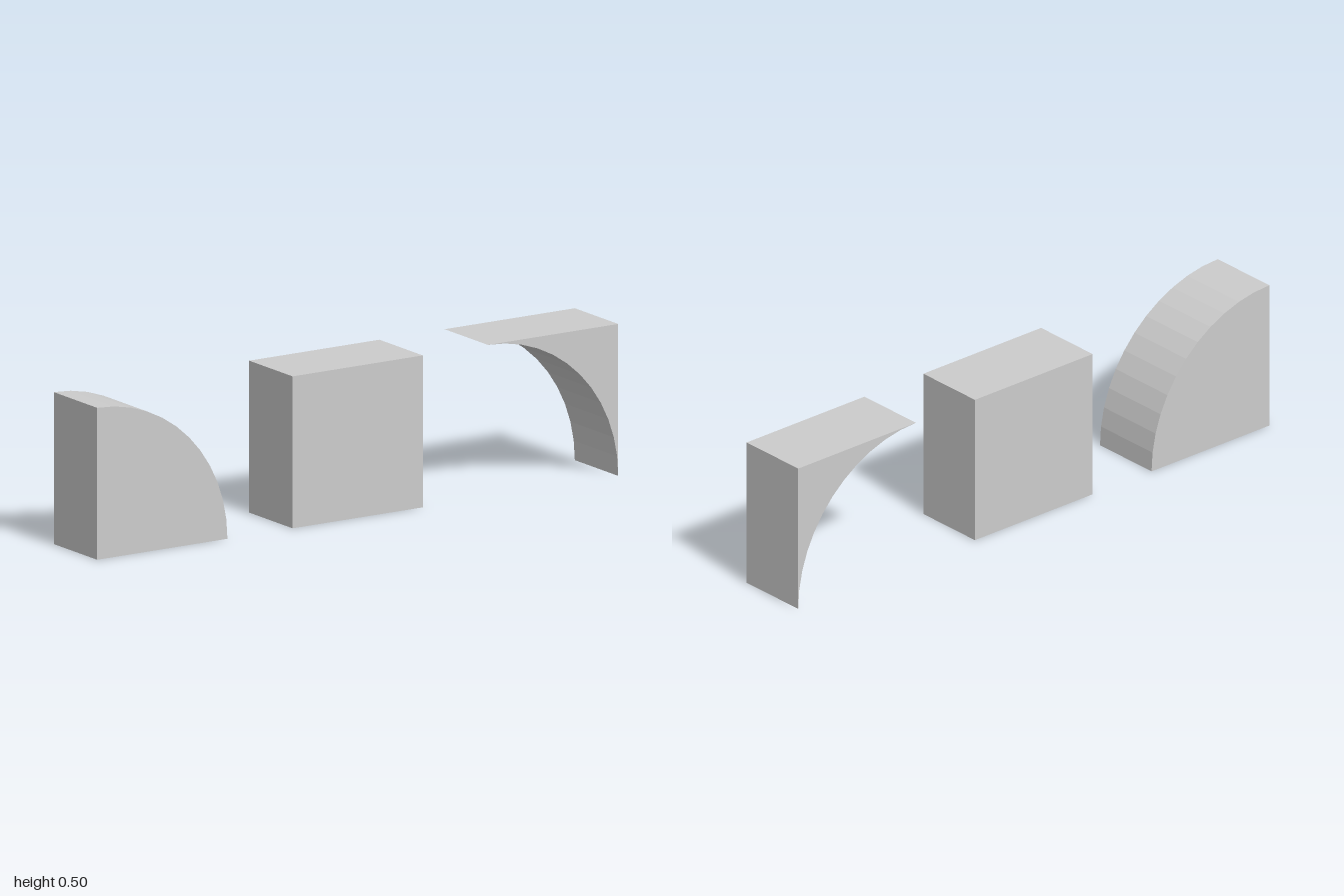
import * as THREE from 'three';

const SIZE = 0.5;
const DEPTH = 0.25;

export function createModel() {
  const model = new THREE.Group();
  const material = new THREE.MeshStandardMaterial({ color: 0xcccccc, flatShading: true });

  function addPart(name, geometry) {
    const mesh = new THREE.Mesh(geometry, material);
    mesh.name = name;
    model.add(mesh);
  }

  // Arcs get twice curveSegments, so each quarter arc has 12 facets
  function extrude(shape) {
    const geometry = new THREE.ExtrudeGeometry(shape, { depth: DEPTH, bevelEnabled: false, curveSegments: 6 });
    return geometry.translate(0, 0, -DEPTH / 2);
  }

  // Convex quarter-round block
  const quarter = new THREE.Shape();
  quarter.moveTo(-1, 0);
  quarter.lineTo(-1 + SIZE, 0);
  quarter.absarc(-1, 0, SIZE, 0, Math.PI / 2, false);
  quarter.closePath();
  addPart('quarterRoundBlock', extrude(quarter));

  // Plain square block
  addPart('squareBlock', new THREE.BoxGeometry(SIZE, SIZE, DEPTH).translate(0, SIZE / 2, 0));

  // Concave corner block, a square with a quarter circle cut away
  const corner = new THREE.Shape();
  corner.moveTo(1, SIZE);
  corner.lineTo(1 - SIZE, SIZE);
  corner.absarc(1 - SIZE, 0, SIZE, Math.PI / 2, 0, true);
  corner.closePath();
  addPart('concaveCornerBlock', extrude(corner));

  return model;
}
